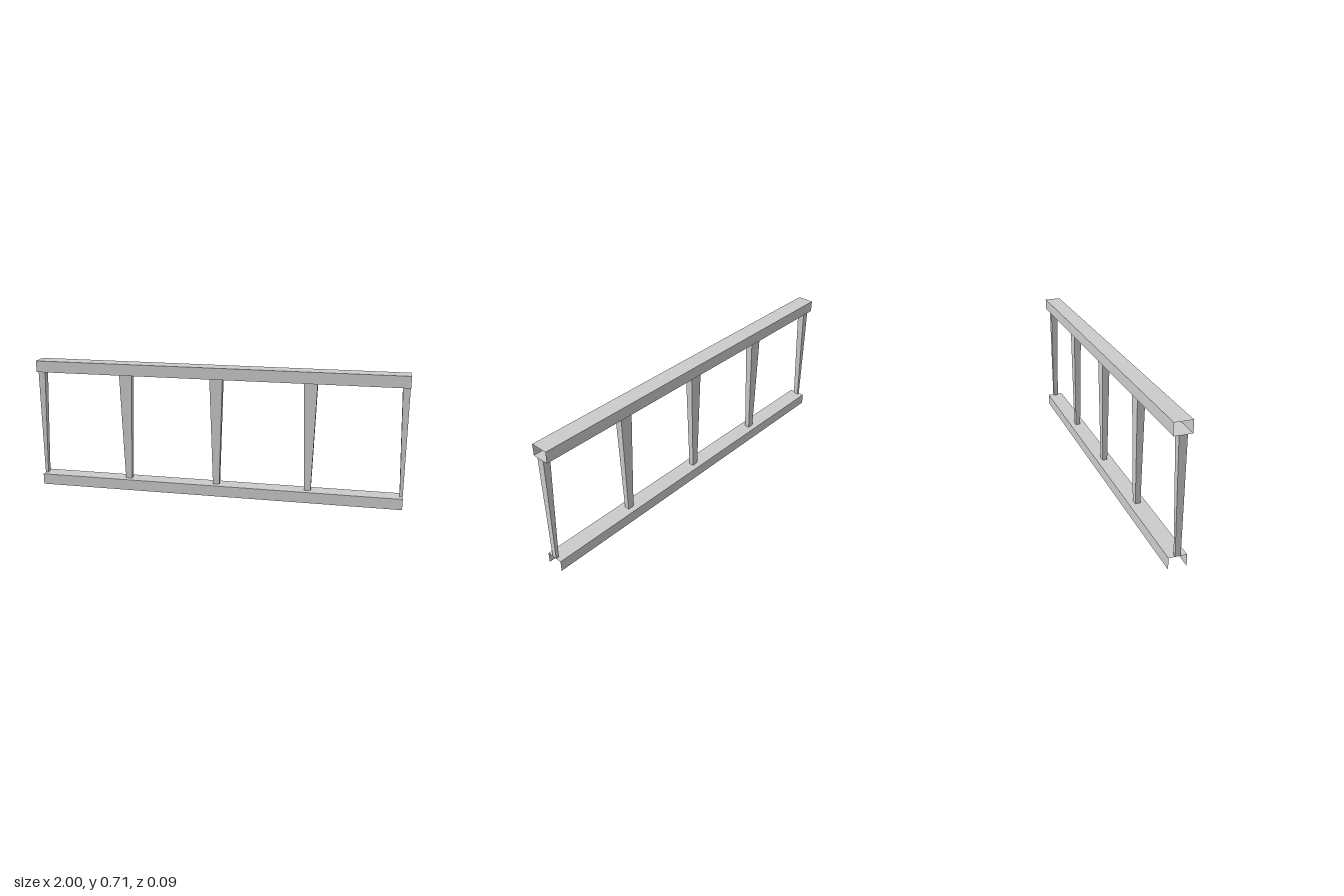
import * as THREE from 'three';

const material = new THREE.MeshStandardMaterial({ color: 0xcccccc, flatShading: true });
const sheet = new THREE.MeshStandardMaterial({ color: 0xcccccc, flatShading: true, side: THREE.DoubleSide });

const LENGTH = 2, HALF_DEPTH = 0.045;
const BOTTOM_TOP = 0.06, TOP_BASE = 0.653, TOP = 0.715;

// Thin sheet folded along a (z, y) profile and run along x, open at both ends
function foldedRail(name, profile) {
  const positions = [], index = [];
  for (let i = 0; i < profile.length - 1; i++) {
    for (const [z, y] of [profile[i], profile[i + 1]]) {
      positions.push(-LENGTH / 2, y, z, LENGTH / 2, y, z);
    }
    const a = i * 4;
    index.push(a, a + 1, a + 2, a + 1, a + 3, a + 2);
  }
  const geometry = new THREE.BufferGeometry();
  geometry.setAttribute('position', new THREE.Float32BufferAttribute(positions, 3));
  geometry.setIndex(index);
  geometry.computeVertexNormals();
  const mesh = new THREE.Mesh(geometry, sheet);
  mesh.name = name;
  return mesh;
}

// Post narrowing downwards; x ranges are [left, right] at the top and bottom
function taperedPost(name, topX, bottomX) {
  const geometry = new THREE.BoxGeometry(1, 1, 1);
  const p = geometry.attributes.position;
  for (let i = 0; i < p.count; i++) {
    const upper = p.getY(i) > 0;
    const x = (upper ? topX : bottomX)[p.getX(i) > 0 ? 1 : 0];
    const z = Math.sign(p.getZ(i)) * (upper ? 0.02 : 0.0135);
    p.setXYZ(i, x, upper ? TOP_BASE : BOTTOM_TOP, z);
  }
  geometry.computeVertexNormals();
  const mesh = new THREE.Mesh(geometry, material);
  mesh.name = name;
  return mesh;
}

export function createModel() {
  const group = new THREE.Group();
  group.name = 'railing';
  const d = HALF_DEPTH;

  // Hollow handrail, closed on four sides
  group.add(foldedRail('topRail', [[d, TOP_BASE], [d, TOP], [-d, TOP], [-d, TOP_BASE], [d, TOP_BASE]].reverse()));
  // Channel with an open underside
  group.add(foldedRail('bottomRail', [[d, 0], [d, BOTTOM_TOP], [-d, BOTTOM_TOP], [-d, 0]].reverse()));

  // Full posts along the span
  for (const x of [-0.5, 0, 0.5]) {
    group.add(taperedPost('post', [x - 0.035, x + 0.035], [x - 0.0175, x + 0.0175]));
  }
  // Half posts flush with the ends
  group.add(taperedPost('leftEndPost', [0.962, 1], [0.984, 1]));
  group.add(taperedPost('rightEndPost', [-1, -0.962], [-1, -0.984]));
  return group;
}
